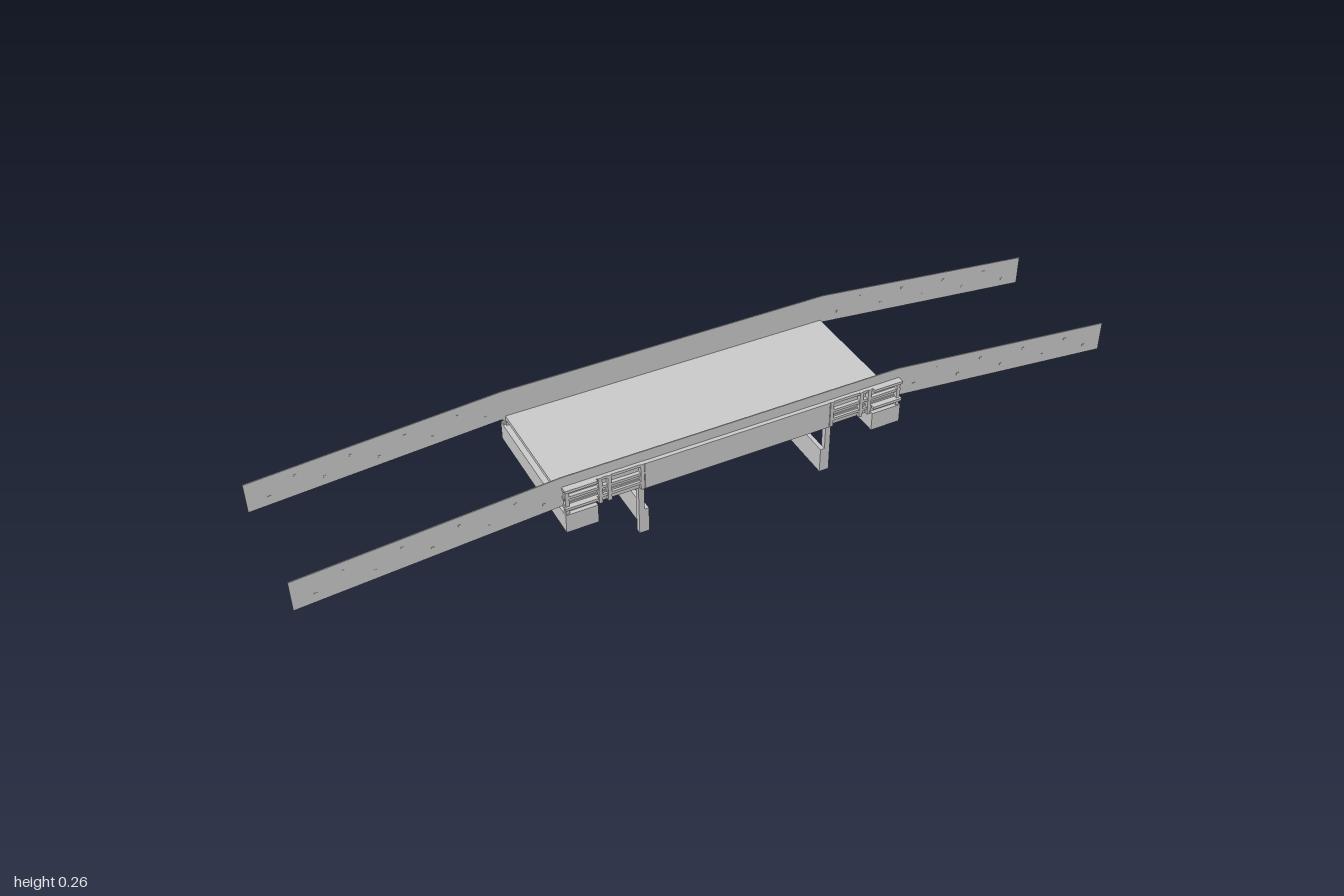
import * as THREE from 'three';

const grey = new THREE.MeshStandardMaterial({ color: 0xcccccc, flatShading: true, side: THREE.DoubleSide });

// Box given by its limits: x along the bridge, z across it
function block(parent, name, [x0, x1], [y0, y1], [z0, z1]) {
  const mesh = new THREE.Mesh(new THREE.BoxGeometry(x1 - x0, y1 - y0, z1 - z0), grey);
  mesh.position.set((x0 + x1) / 2, (y0 + y1) / 2, (z0 + z1) / 2);
  mesh.name = name;
  parent.add(mesh);
  return mesh;
}

// Square bar between two points
function bar(parent, name, a, b, size) {
  const from = new THREE.Vector3(...a), to = new THREE.Vector3(...b);
  const mesh = new THREE.Mesh(new THREE.BoxGeometry(size, size, from.distanceTo(to)), grey);
  mesh.position.copy(from).add(to).multiplyScalar(0.5);
  mesh.lookAt(to);
  mesh.name = name;
  parent.add(mesh);
}

// Limits mirrored to the given side and put in order
const span = (s, a, b) => (s > 0 ? [a, b] : [-b, -a]);

// Thin parapet sheet, level over the deck and falling along both approaches
function parapet(side) {
  const group = new THREE.Group();
  group.name = 'parapet';
  const shape = new THREE.Shape([
    [-1.172, 0.128], [-0.485, 0.176], [0.485, 0.176], [1.172, 0.103],
    [1.172, 0.191], [0.485, 0.265], [-0.485, 0.265], [-1.172, 0.216],
  ].map(p => new THREE.Vector2(...p)));
  const geometry = new THREE.ExtrudeGeometry(shape, { depth: 0.003, bevelEnabled: false });
  geometry.translate(0, 0, -0.0015);
  const sheet = new THREE.Mesh(geometry, grey);
  sheet.name = 'parapetSheet';
  sheet.position.z = side * 0.195;
  group.add(sheet);
  // Staggered bolts on the approaches
  for (const end of [-1, 1]) {
    for (let i = 0; i < 9; i++) {
      const t = (i + 0.5) / 9;
      const x = end * (0.5 + 0.65 * t);
      const y = 0.22 - t * (end > 0 ? 0.07 : 0.047) + (i % 2 ? 0.018 : -0.018);
      block(group, 'bolt', [x - 0.004, x + 0.004], [y - 0.003, y + 0.003],
        [side * 0.195 - 0.0025, side * 0.195 + 0.0025]);
    }
  }
  return group;
}

// Open frame of rails and uprights beside each end of the deck
function sideFrame(end, side) {
  const group = new THREE.Group();
  group.name = 'sideFrame';
  for (const y of [0.175, 0.203, 0.231]) {
    block(group, 'frameRail', span(end, 0.268, 0.488), [y - 0.004, y + 0.004], span(side, 0.195, 0.207));
  }
  for (const x of [0.275, 0.365, 0.39, 0.48]) {
    block(group, 'frameUpright', span(end, x - 0.005, x + 0.005), [0.155, 0.235], span(side, 0.195, 0.209));
  }
  for (const y of [0.175, 0.231]) {
    block(group, 'endPlate', span(end, 0.4, 0.488), [y - 0.004, y + 0.004], span(side, 0.195, 0.216));
  }
  return group;
}

// Pier: low wall, three posts on its outer face, cap and V braces
function pier(end) {
  const group = new THREE.Group();
  group.name = 'pier';
  block(group, 'pierWall', span(end, 0.254, 0.266), [0, 0.075], [-0.196, 0.196]);
  for (const z of [-0.188, 0, 0.188]) {
    block(group, 'pierPost', span(end, 0.266, 0.282), [0, z ? 0.155 : 0.08], [z - 0.008, z + 0.008]);
  }
  block(group, 'pierCap', span(end, 0.256, 0.282), [0.145, 0.17], [-0.196, 0.196]);
  for (const side of [-1, 1]) {
    bar(group, 'pierBrace', [end * 0.274, 0.148, side * 0.185], [end * 0.274, 0.08, 0], 0.009);
  }
  return group;
}

export function createModel() {
  const model = new THREE.Group();
  model.name = 'bridge';
  const span3 = new THREE.Group();
  span3.name = 'bridgeSpan';
  span3.rotation.y = 0.834; // the bridge lies diagonally
  model.add(span3);

  block(span3, 'deck', [-0.48, 0.48], [0.172, 0.184], [-0.2, 0.2]);
  // Cross beams under the deck
  for (const x of [-0.09, 0.09]) {
    block(span3, 'crossBeam', [x - 0.008, x + 0.008], [0.157, 0.172], [-0.194, 0.194]);
  }

  for (const side of [-1, 1]) {
    span3.add(parapet(side));
    block(span3, 'sideGirder', [-0.268, 0.268], [0.155, 0.235], span(side, 0.197, 0.209));
    block(span3, 'edgeBeam', [-0.48, 0.48], [0.155, 0.175], span(side, 0.19, 0.2));
    for (const end of [-1, 1]) span3.add(sideFrame(end, side));
  }

  for (const end of [-1, 1]) {
    span3.add(pier(end));
    block(span3, 'abutment', span(end, 0.4, 0.488), [0.1, 0.155], [-0.212, 0.212]);
  }
  return model;
}
